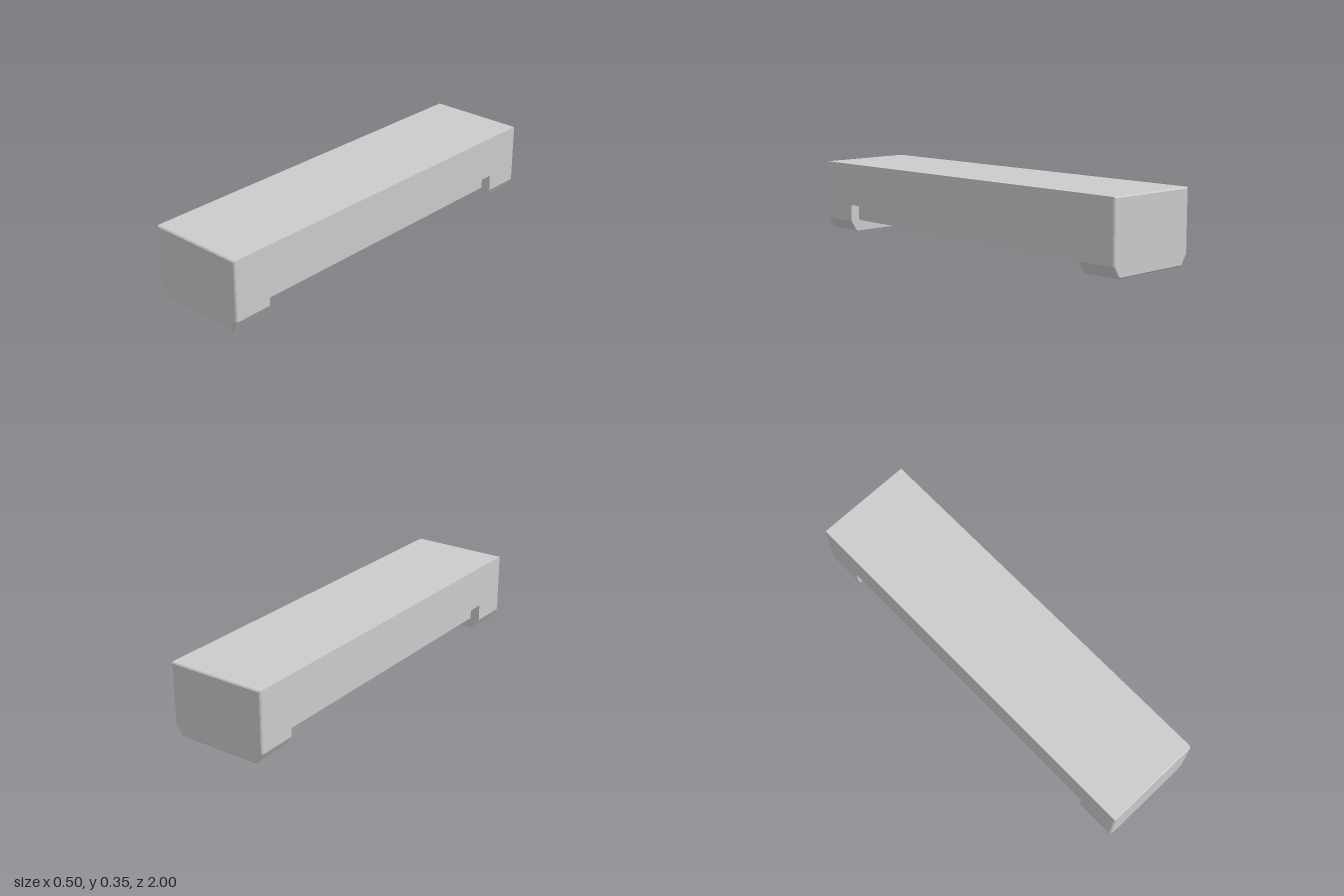
import * as THREE from 'three';

const material = new THREE.MeshStandardMaterial({ color: 0xcccccc, flatShading: true });
const W = 0.25, H = 0.355, BEVEL = 0.006, LEG_Z = 0.8;

// Half outline (bottom to top, +x side) mirrored into a full counter-clockwise ring
const mirrored = (half) => [
  ...half.map(([x, y]) => new THREE.Vector2(x, y)),
  ...half.slice().reverse().map(([x, y]) => new THREE.Vector2(-x, y)),
];

// End block outline with chamfered lower corners; e pulls it inward
const endRing = (e) => mirrored([
  [0.211 - e * 0.4, e], [0.218 - e * 0.8, 0.004 + e * 0.7],
  [W - e, 0.056 + e * 0.3], [W - e, H - e],
]);

// Solid through matching rings along z, capped at both ends
function loft(sections) {
  const pos = [];
  const n = sections[0].ring.length;
  const put = (s, i) => pos.push(s.ring[i % n].x, s.ring[i % n].y, s.z);
  for (let k = 0; k < sections.length - 1; k++) {
    const a = sections[k], b = sections[k + 1];
    for (let i = 0; i < n; i++) {
      put(a, i); put(a, i + 1); put(b, i + 1);
      put(a, i); put(b, i + 1); put(b, i);
    }
  }
  const first = sections[0], last = sections[sections.length - 1];
  for (let i = 1; i < n - 1; i++) {
    put(first, 0); put(first, i + 1); put(first, i);
    put(last, 0); put(last, i); put(last, i + 1);
  }
  const g = new THREE.BufferGeometry();
  g.setAttribute('position', new THREE.Float32BufferAttribute(pos, 3));
  g.computeVertexNormals();
  return g;
}

export function createModel() {
  const group = new THREE.Group();
  const add = (name, geometry) => {
    const mesh = new THREE.Mesh(geometry, material);
    mesh.name = name;
    group.add(mesh);
    return mesh;
  };

  // Middle beam: full-width top, narrower recessed belly
  const beam = new THREE.Shape(mirrored([[0.2, 0.056], [0.2, 0.14], [W, 0.14], [W, H]]));
  add('beam', new THREE.ExtrudeGeometry(beam, { depth: 2 * LEG_Z, bevelEnabled: false })
    .translate(0, 0, -LEG_Z));

  // End blocks with feet and a fine bevel around the outer face
  const end = loft([
    { z: LEG_Z, ring: endRing(0) },
    { z: 1 - BEVEL, ring: endRing(0) },
    { z: 1, ring: endRing(BEVEL) },
  ]);
  add('frontEndBlock', end);
  add('backEndBlock', end).rotation.y = Math.PI;

  return group;
}
